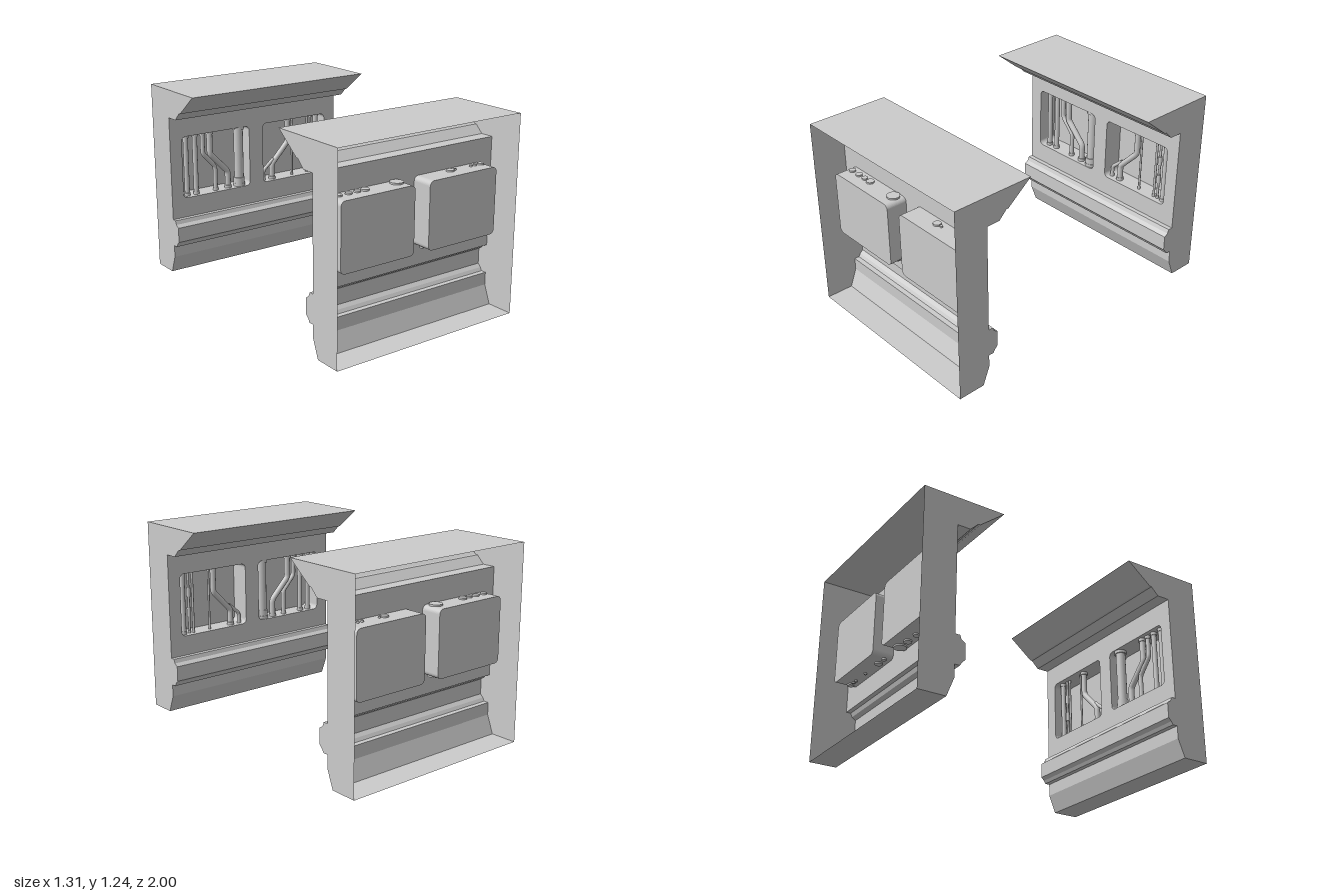
import * as THREE from 'three';

const material = new THREE.MeshStandardMaterial({ color: 0xcccccc, side: THREE.DoubleSide });
const HALF = 0.655;            // half width of a panel
const WALL_Z = 0.78, RECESS_Z = 0.915, PIPE_Z = 0.825;
const LOW = 0.505, HIGH = 0.918; // recess floor and ceiling

function add(parent, name, geometry) {
  const mesh = new THREE.Mesh(geometry, material);
  mesh.name = name;
  parent.add(mesh);
  return mesh;
}

// Flat-shaded strip of quads between two matching rows of points
function strip(a, b) {
  const v = [];
  for (let i = 0; i < a.length - 1; i++) {
    for (const p of [a[i], b[i], b[i + 1], a[i], b[i + 1], a[i + 1]]) v.push(...p);
  }
  const g = new THREE.BufferGeometry();
  g.setAttribute('position', new THREE.Float32BufferAttribute(v, 3));
  g.computeVertexNormals();
  return g;
}

// Profile points [z, y] swept across the panel width
const sweep = (pts) => strip(pts.map(([z, y]) => [-HALF, y, z]), pts.map(([z, y]) => [HALF, y, z]));

function roundedRect(x0, y0, x1, y1, r, Type) {
  const s = new Type();
  s.absarc(x1 - r, y1 - r, r, 0, Math.PI / 2);
  s.absarc(x0 + r, y1 - r, r, Math.PI / 2, Math.PI);
  s.absarc(x0 + r, y0 + r, r, Math.PI, Math.PI * 1.5);
  s.absarc(x1 - r, y0 + r, r, Math.PI * 1.5, Math.PI * 2);
  s.closePath();
  return s;
}

// Upright sleeve or flange around a pipe
function collar(parent, name, x, y0, y1, r) {
  const mesh = add(parent, name, new THREE.CylinderGeometry(r, r, y1 - y0, 16));
  mesh.position.set(x, (y0 + y1) / 2, PIPE_Z);
}

// Pipe along [x, y] points, with softened bends
function pipe(parent, name, pts, r) {
  const p = pts.map(([x, y]) => new THREE.Vector3(x, y, PIPE_Z));
  const path = new THREE.CurvePath();
  let from = p[0];
  for (let i = 1; i < p.length - 1; i++) {
    const before = p[i].clone().add(p[i - 1].clone().sub(p[i]).setLength(0.02));
    const after = p[i].clone().add(p[i + 1].clone().sub(p[i]).setLength(0.02));
    path.add(new THREE.LineCurve3(from, before));
    path.add(new THREE.QuadraticBezierCurve3(before, p[i], after));
    from = after;
  }
  path.add(new THREE.LineCurve3(from, p[p.length - 1]));
  add(parent, name, new THREE.TubeGeometry(path, p.length > 2 ? 40 : 1, r, 12, false));
}

// Flanges where a pipe passes through the recess floor or ceiling
const floorFlange = (g, x, r) => collar(g, 'floorFlange', x, LOW - 0.01, LOW + 0.02, r);
const ceilingFlange = (g, x, r) => collar(g, 'ceilingFlange', x, HIGH - 0.02, HIGH + 0.01, r);

function straightPipe(g, name, x, r) {
  pipe(g, name, [[x, LOW], [x, HIGH]], r * 0.8);
  floorFlange(g, x, r);
  ceilingFlange(g, x, r);
}

function bentPipe(g, xLow, xHigh, yLow, yHigh, r) {
  pipe(g, 'bentPipe', [[xLow, LOW], [xLow, yLow], [xHigh, yHigh], [xHigh, HIGH]], r * 0.8);
  floorFlange(g, xLow, r);
  ceilingFlange(g, xHigh, r);
}

function createPanel(name) {
  const panel = new THREE.Group();
  panel.name = name;

  // Lower half of the profile: floor, kick slope and rail; upper half: cornice and top
  const lower = [[1, 0], [0.825, 0], [0.78, 0.115], [0.78, 0.195], [0.747, 0.195], [0.735, 0.215],
    [0.715, 0.235], [0.715, 0.333], [0.74, 0.35], [0.75, 0.375], [WALL_Z, 0.375]];
  const upper = [[WALL_Z, 1.058], [0.695, 1.058], [0.645, 1.108], [0.63, 1.11], [0.468, 1.24], [1, 1.24]];
  add(panel, 'baseAndRail', sweep(lower));
  add(panel, 'cornice', sweep(upper));

  // End plates
  const outline = new THREE.Shape([...lower, ...upper].map(([z, y]) => new THREE.Vector2(-z, y)));
  for (const side of [-1, 1]) {
    const g = new THREE.ShapeGeometry(outline);
    g.rotateY(Math.PI / 2);
    g.translate(side * HALF, 0, 0);
    add(panel, side < 0 ? 'rightEndPlate' : 'leftEndPlate', g);
  }

  // Wall with two window openings, each backed by a recess box
  const wall = new THREE.Shape();
  wall.moveTo(-HALF, 0.375);
  wall.lineTo(HALF, 0.375);
  wall.lineTo(HALF, 1.058);
  wall.lineTo(-HALF, 1.058);
  wall.closePath();
  for (const [x0, x1] of [[-0.57, -0.055], [0.053, 0.568]]) {
    wall.holes.push(roundedRect(x0, LOW, x1, HIGH, 0.03, THREE.Path));
    const shape = roundedRect(x0, LOW, x1, HIGH, 0.03, THREE.Shape);
    const ring = shape.getPoints(6);
    if (!ring[0].equals(ring[ring.length - 1])) ring.push(ring[0]);
    add(panel, 'recessSides', strip(ring.map((p) => [p.x, p.y, WALL_Z]), ring.map((p) => [p.x, p.y, RECESS_Z])));
    add(panel, 'recessBack', new THREE.ShapeGeometry(shape, 6).translate(0, 0, RECESS_Z));
  }
  add(panel, 'wall', new THREE.ShapeGeometry(wall, 6).translate(0, 0, WALL_Z));

  // Pipes in the right-hand recess
  const rightPipes = new THREE.Group();
  rightPipes.name = 'rightPipes';
  panel.add(rightPipes);
  straightPipe(rightPipes, 'pipe', -0.518, 0.021);
  straightPipe(rightPipes, 'pipe', -0.45, 0.021);
  bentPipe(rightPipes, -0.302, -0.392, 0.67, 0.77, 0.019);
  bentPipe(rightPipes, -0.205, -0.338, 0.62, 0.76, 0.025);
  straightPipe(rightPipes, 'largePipe', -0.115, 0.04);
  collar(rightPipes, 'largePipeSleeve', -0.115, LOW, 0.565, 0.038);

  // Pipes in the left-hand recess
  const leftPipes = new THREE.Group();
  leftPipes.name = 'leftPipes';
  panel.add(leftPipes);
  bentPipe(leftPipes, 0.152, 0.285, 0.61, 0.75, 0.024);
  pipe(leftPipes, 'branchPipe', [[0.083, LOW], [0.083, 0.575], [0.165, 0.645]], 0.012);
  floorFlange(leftPipes, 0.083, 0.014);
  straightPipe(leftPipes, 'thinPipe', 0.322, 0.009);
  for (const x of [0.449, 0.48]) straightPipe(leftPipes, 'thinPipe', x, 0.01);
  for (const y of [0.62, 0.75]) collar(leftPipes, 'thinPipeSleeve', 0.48, y, y + 0.06, 0.014);
  straightPipe(leftPipes, 'pipe', 0.525, 0.021);

  return panel;
}

export function createModel() {
  const model = new THREE.Group();
  model.name = 'corridorWalls';
  // Two panels facing one another
  const front = createPanel('frontPanel');
  const back = createPanel('backPanel');
  back.scale.z = -1;
  model.add(front, back);
  return model;
}
